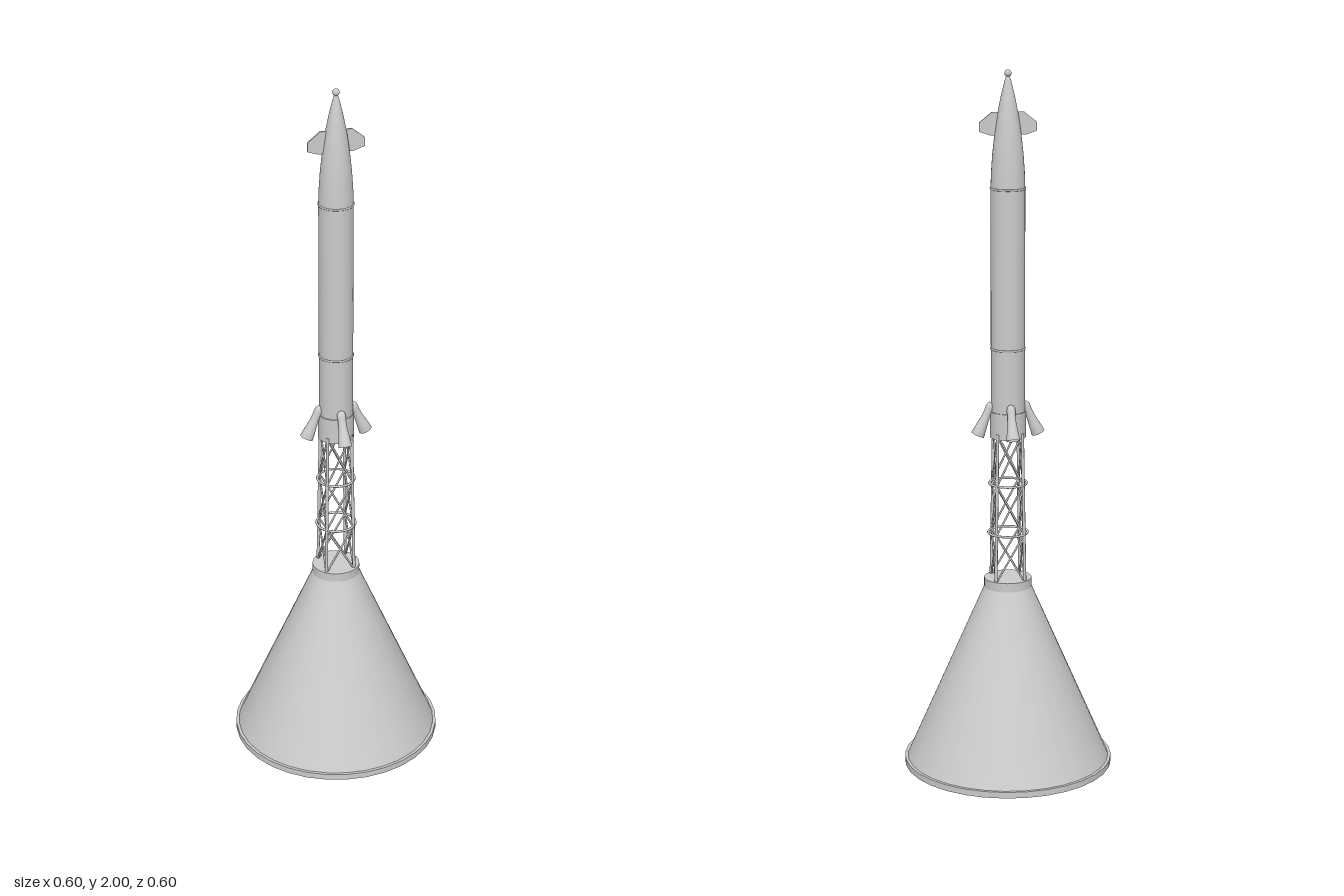
import * as THREE from 'three';

const grey = new THREE.MeshStandardMaterial({ color: 0xcccccc });
const greyThin = new THREE.MeshStandardMaterial({ color: 0xcccccc, side: THREE.DoubleSide });

// Surface of revolution from [radius, y] pairs, drawn bottom to top
function lathe(name, points, segments = 32, material = grey) {
  const mesh = new THREE.Mesh(
    new THREE.LatheGeometry(points.map(([r, y]) => new THREE.Vector2(r, y)), segments), material);
  mesh.name = name;
  return mesh;
}

function cylinder(name, rTop, rBottom, y0, y1, open = false) {
  const mesh = new THREE.Mesh(
    new THREE.CylinderGeometry(rTop, rBottom, y1 - y0, 32, 1, open), open ? greyThin : grey);
  mesh.position.y = (y0 + y1) / 2;
  mesh.name = name;
  return mesh;
}

function ring(name, radius, tube, y) {
  const mesh = new THREE.Mesh(new THREE.TorusGeometry(radius, tube, 8, 32), grey);
  mesh.rotation.x = Math.PI / 2;
  mesh.position.y = y;
  mesh.name = name;
  return mesh;
}

// Round bar between two points
function strut(name, a, b, radius) {
  const dir = b.clone().sub(a);
  const mesh = new THREE.Mesh(new THREE.CylinderGeometry(radius, radius, dir.length(), 8), grey);
  mesh.position.copy(a).add(b).multiplyScalar(0.5);
  mesh.quaternion.setFromUnitVectors(new THREE.Vector3(0, 1, 0), dir.normalize());
  mesh.name = name;
  return mesh;
}

// Hollow protective cone with base rim and top collar
function buildCover() {
  const g = new THREE.Group();
  g.name = 'protectiveCover';
  g.add(cylinder('coverShell', 0.068, 0.295, 0.01, 0.53, true));
  g.add(cylinder('baseRim', 0.3, 0.3, 0, 0.018, true));
  const lip = new THREE.Mesh(new THREE.RingGeometry(0.29, 0.3, 32), greyThin);
  lip.rotation.x = -Math.PI / 2;
  lip.position.y = 0.018;
  lip.name = 'rimLip';
  g.add(lip);
  g.add(cylinder('topCollar', 0.068, 0.068, 0.53, 0.556));
  return g;
}

// Four-legged lattice tower
function buildTower() {
  const g = new THREE.Group();
  g.name = 'latticeTower';
  const levels = [0.55, 0.69, 0.835, 0.985];
  const radiusAt = (y) => THREE.MathUtils.mapLinear(y, 0.55, 0.985, 0.059, 0.05);
  const node = (i, y) => {
    const a = Math.PI / 4 + i * Math.PI / 2;
    return new THREE.Vector3(Math.cos(a) * radiusAt(y), y, Math.sin(a) * radiusAt(y));
  };
  for (let i = 0; i < 4; i++) {
    g.add(strut('towerLeg', node(i, 0.55), node(i, 0.985), 0.0045));
    for (let k = 0; k < 3; k++) {
      g.add(strut('crossBrace', node(i, levels[k]), node(i + 1, levels[k + 1]), 0.0028));
      g.add(strut('crossBrace', node(i + 1, levels[k]), node(i, levels[k + 1]), 0.0028));
    }
  }
  for (const y of [0.69, 0.835]) g.add(ring('towerRing', radiusAt(y), 0.0035, y));
  return g;
}

// Rocket motor casing, joint bands, ogive nose and tip ball
function buildMotor() {
  const g = new THREE.Group();
  g.name = 'rocketMotor';
  g.add(cylinder('aftSkirt', 0.051, 0.051, 0.97, 1.045));
  g.add(cylinder('motorCasing', 0.048, 0.048, 1.045, 1.675));
  for (const y of [1.225, 1.675]) g.add(ring('jointBand', 0.0475, 0.003, y));
  g.add(lathe('noseCone', [
    [0.048, 1.675], [0.0465, 1.72], [0.043, 1.77], [0.037, 1.825],
    [0.029, 1.88], [0.019, 1.93], [0.009, 1.97], [0.004, 1.985], [0, 1.987],
  ]));
  const tip = new THREE.Mesh(new THREE.SphereGeometry(0.01, 16, 12), grey);
  tip.position.y = 1.99;
  tip.name = 'tipBall';
  g.add(tip);
  return g;
}

// Canted exhaust nozzles, hollow at the mouth
function buildNozzles() {
  const g = new THREE.Group();
  g.name = 'exhaustNozzles';
  for (let i = 0; i < 4; i++) {
    const arm = new THREE.Group();
    arm.name = 'nozzle';
    const bell = lathe('nozzleBell', [
      [0, -0.03], [0.008, -0.03], [0.017, -0.085], [0.0195, -0.085], [0.0165, -0.062],
      [0.0125, -0.034], [0.0115, -0.012], [0.0125, 0], [0.0115, 0.008], [0.007, 0.015], [0, 0.0175],
    ], 20, greyThin);
    bell.position.set(0.052, 1.056, 0);
    bell.rotation.z = 0.42;
    arm.add(bell);
    arm.rotation.y = i * Math.PI / 2;
    g.add(arm);
  }
  return g;
}

// Pair of small swept fins on the nose
function buildCanards() {
  const g = new THREE.Group();
  g.name = 'canards';
  const outline = [[0.02, 1.822], [0.05, 1.822], [0.08, 1.832], [0.08, 1.857], [0.045, 1.885], [0.02, 1.885]];
  const shape = new THREE.Shape(outline.map(([x, y]) => new THREE.Vector2(x, y)));
  const geo = new THREE.ExtrudeGeometry(shape, { depth: 0.005, bevelEnabled: false });
  geo.translate(0, 0, -0.0025);
  for (const [name, turn] of [['leftCanard', 0], ['rightCanard', Math.PI]]) {
    const fin = new THREE.Mesh(geo, grey);
    fin.rotation.y = turn;
    fin.name = name;
    g.add(fin);
  }
  return g;
}

export function createModel() {
  const model = new THREE.Group();
  model.name = 'escapeTower';
  model.add(buildCover(), buildTower(), buildMotor(), buildNozzles(), buildCanards());
  return model;
}
